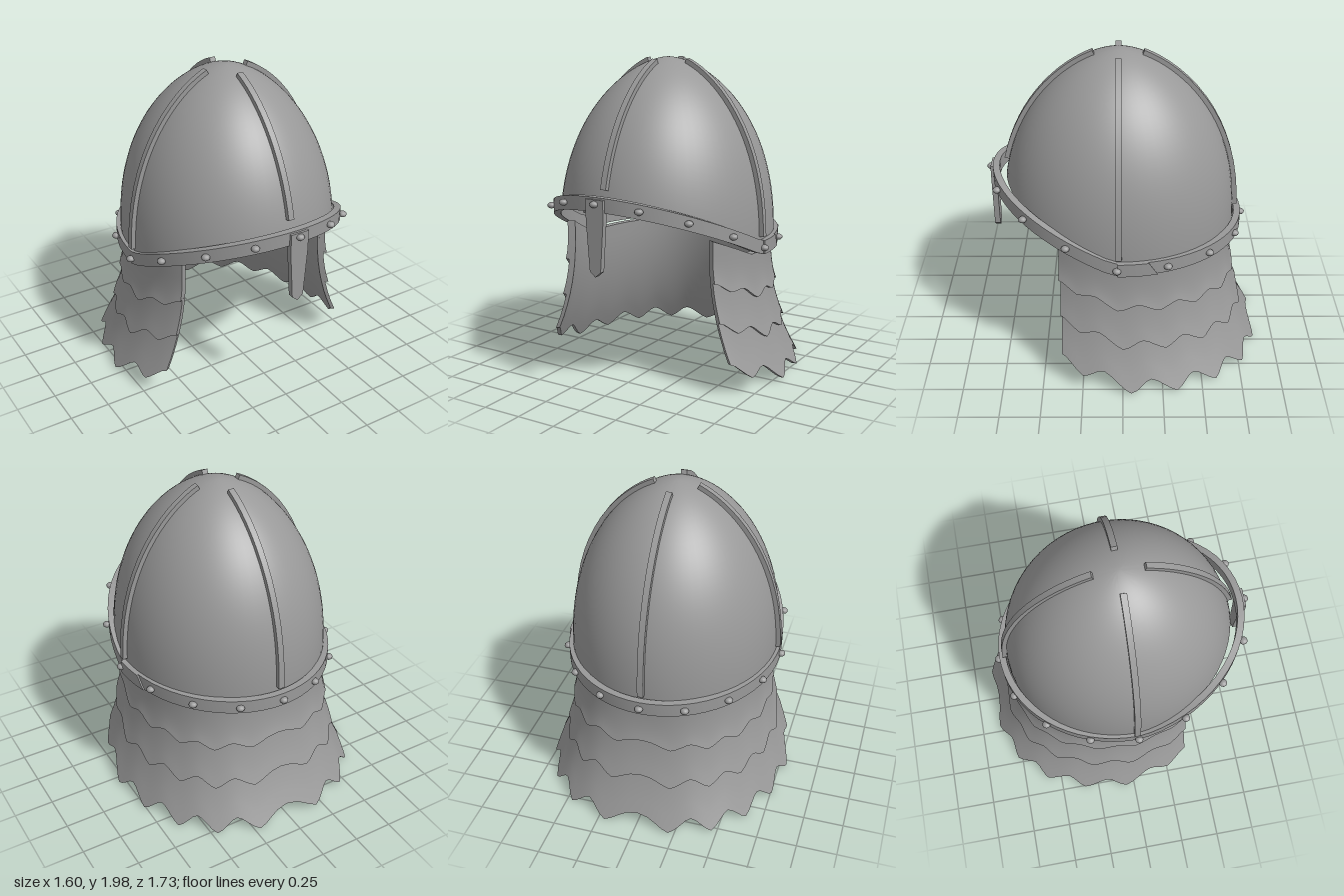
import * as THREE from 'three';
import { toCreasedNormals } from 'three/addons/utils/BufferGeometryUtils.js';

const steel = new THREE.MeshStandardMaterial({ color: 0x999999, side: THREE.DoubleSide });
steel.name = 'steel grey';

// Skin a row of cross-sections (arrays of Vector3 of equal length)
function loft(sections, { closedPath = false, closedLoop = true, crease = 0.6 } = {}) {
  const n = sections[0].length, count = sections.length;
  const pos = [], idx = [];
  for (const s of sections) for (const p of s) pos.push(p.x, p.y, p.z);
  const quad = (a, b, c, d) => idx.push(a, b, c, a, c, d);
  for (let s = 0; s < (closedPath ? count : count - 1); s++) {
    const a = s * n, b = ((s + 1) % count) * n;
    for (let i = 0; i < (closedLoop ? n : n - 1); i++) {
      const j = (i + 1) % n;
      quad(a + i, a + j, b + j, b + i);
    }
  }
  // end caps, paired across the section
  if (!closedPath && closedLoop) {
    const e = (count - 1) * n;
    for (let i = 0; i < n / 2 - 1; i++) {
      quad(n - 1 - i, n - 2 - i, i + 1, i);
      quad(e + i, e + i + 1, e + n - 2 - i, e + n - 1 - i);
    }
  }
  const g = new THREE.BufferGeometry();
  g.setAttribute('position', new THREE.Float32BufferAttribute(pos, 3));
  g.setIndex(idx);
  return toCreasedNormals(g, crease);
}

const V = (x, y, z) => new THREE.Vector3(x, y, z);
const CZ = 0.025;                       // centre of the bowl in z
const BASE = 0.86, HEIGHT = 1.13;       // bowl foot and height
const RX = 0.66, RZ = 0.73;

// Relative bowl radius at relative height s
const bowl = s => Math.pow(Math.max(0, 1 - Math.pow(Math.max(s, 0), 2.3)), 0.6);
// Centre height of the brow band: level behind, rising to the front
const rimY = z => 0.865 + Math.max(0, z - 0.05) * 0.43;

function domeGeometry() {
  const sections = [], around = 64, rows = 28;
  for (let i = 0; i < around; i++) {
    const a = (i / around) * Math.PI * 2;
    const s0 = (rimY(CZ + 0.75 * Math.cos(a)) - BASE) / HEIGHT;
    const column = [];
    for (let j = 0; j <= rows; j++) {
      const s = s0 + (1 - s0) * Math.cos((j / rows) * Math.PI / 2);
      const k = bowl(s);
      column.push(V(RX * k * Math.sin(a), BASE + s * HEIGHT, CZ + RZ * k * Math.cos(a)));
    }
    sections.push(column);
  }
  return loft(sections, { closedPath: true, closedLoop: false, crease: 0.9 });
}

// Raised strip following the bowl from height y0 nearly to the apex
function ribGeometry(a, radius, y0) {
  const sections = [], steps = 16, half = 0.019;
  const s0 = (y0 - BASE) / HEIGHT, s1 = 0.97;
  const dir = V(Math.sin(a), 0, Math.cos(a)), side = V(-Math.cos(a), 0, Math.sin(a));
  for (let j = 0; j <= steps; j++) {
    const s = s0 + (s1 - s0) * Math.sin((j / steps) * Math.PI / 2);
    const slope = (bowl(s + 0.004) - bowl(s - 0.004)) * radius / (0.008 * HEIGHT);
    const normal = dir.clone().add(V(0, -slope, 0)).normalize();
    const p = dir.clone().multiplyScalar(radius * bowl(s)).add(V(0, BASE + s * HEIGHT, CZ));
    const corner = (h, w) => p.clone().addScaledVector(normal, h).addScaledVector(side, w);
    sections.push([corner(0.028, half), corner(0.028, -half), corner(-0.012, -half), corner(-0.012, half)]);
  }
  return loft(sections, { crease: 0.5 });
}

// Brow band section at angle a, grown outwards by extra
function bandSection(a, extra = 0, skew = 0) {
  const at = (r, dy, turn = 0) => {
    const s = Math.sin(a + turn), c = Math.cos(a + turn);
    return V((0.682 + r) * s, rimY(0.03 + 0.785 * c) + dy, 0.03 + (0.785 + r) * c);
  };
  const h = 0.043;
  return [at(extra, h, -skew), at(extra, -h, skew), at(-0.042, -h, skew), at(-0.042, h, -skew)];
}

// Flared neck guard layer with a scalloped lower edge
function guardLayer(low, amplitude, lift) {
  const scallops = 12, per = 8, rows = 9, sections = [];
  const total = scallops * per;
  const point = (u, y, off) => {
    const r = 0.655 + 0.2 * Math.pow(Math.max(0, (0.85 - y) / 0.8), 2);
    const end = Math.acos(0.375 / r);
    const a = Math.PI + u * (Math.PI - end);
    const s = Math.sin(a), c = Math.cos(a);
    return V(Math.sign(s) * Math.pow(Math.abs(s), 0.75) * (r * 0.905 + off), y, c * (r + off));
  };
  for (let i = 0; i <= total; i++) {
    const u = (i / total) * 2 - 1;
    const wave = Math.abs(((i / per) % 1) * 2 - 1);          // 1 at peaks, 0 at tips
    const zig = THREE.MathUtils.clamp(wave * 1.25 - 0.1, 0, 1);
    const rise = 0.12 * THREE.MathUtils.smoothstep(Math.abs(u), 0.7, 1);
    const bottom = low + amplitude * zig + rise;
    const top = rimY(point(u, 0.85, 0).z) - 0.05;
    const outer = [], inner = [];
    for (let j = 0; j <= rows; j++) {
      const t = j / rows, y = top + (bottom - top) * t;
      const out = lift + 0.012 * Math.pow(t, 4);
      outer.push(point(u, y, out));
      inner.unshift(point(u, y, out - 0.024));
    }
    sections.push([...outer, ...inner]);
  }
  return loft(sections, { crease: 0.55 });
}

export function createModel() {
  const helmet = new THREE.Group();
  helmet.name = 'helmet';
  const add = (name, geometry) => {
    const mesh = new THREE.Mesh(geometry, steel);
    mesh.name = name;
    helmet.add(mesh);
    return mesh;
  };

  add('dome', domeGeometry());

  // four ribs over the bowl
  add('frontRib', ribGeometry(0, RZ, 1.26));
  add('backRib', ribGeometry(Math.PI, RZ, 0.93));
  add('leftRib', ribGeometry(Math.PI / 2, RX, 0.93));
  add('rightRib', ribGeometry(-Math.PI / 2, RX, 0.93));

  // brow band, with the overlapping join on the left side
  const ring = [];
  for (let i = 0; i < 64; i++) ring.push(bandSection((i / 64) * Math.PI * 2));
  add('browBand', loft(ring, { closedPath: true, crease: 0.4 }));
  const join = [];
  for (let i = 0; i <= 6; i++) join.push(bandSection(1.57 + i * 0.045, 0.01, i === 6 ? 0.035 : 0));
  add('bandJoin', loft(join, { crease: 0.4 }));

  // rivets around the band
  const rivetGeometry = new THREE.SphereGeometry(0.026, 12, 8);
  for (let i = 0; i < 16; i++) {
    const a = (i / 16) * Math.PI * 2, z = 0.035 + 0.795 * Math.cos(a);
    const rivet = add('rivet', rivetGeometry);
    rivet.position.set(0.692 * Math.sin(a), rimY(z) - 0.002, z);
    rivet.scale.y = 0.75;
  }

  // nose guard
  const nose = new THREE.Shape();
  nose.moveTo(-0.06, 1.225);
  nose.lineTo(-0.06, 1.1);
  nose.lineTo(-0.038, 0.8);
  nose.lineTo(0, 0.768);
  nose.lineTo(0.038, 0.8);
  nose.lineTo(0.06, 1.1);
  nose.lineTo(0.06, 1.225);
  nose.closePath();
  add('noseGuard', new THREE.ExtrudeGeometry(nose, { depth: 0.035, bevelEnabled: false })).position.z = 0.793;

  // three nested layers of the neck guard
  add('lowerNeckGuard', guardLayer(0.01, 0.085, 0));
  add('middleNeckGuard', guardLayer(0.28, 0.06, 0.011));
  add('upperNeckGuard', guardLayer(0.535, 0.045, 0.022));

  return helmet;
}
